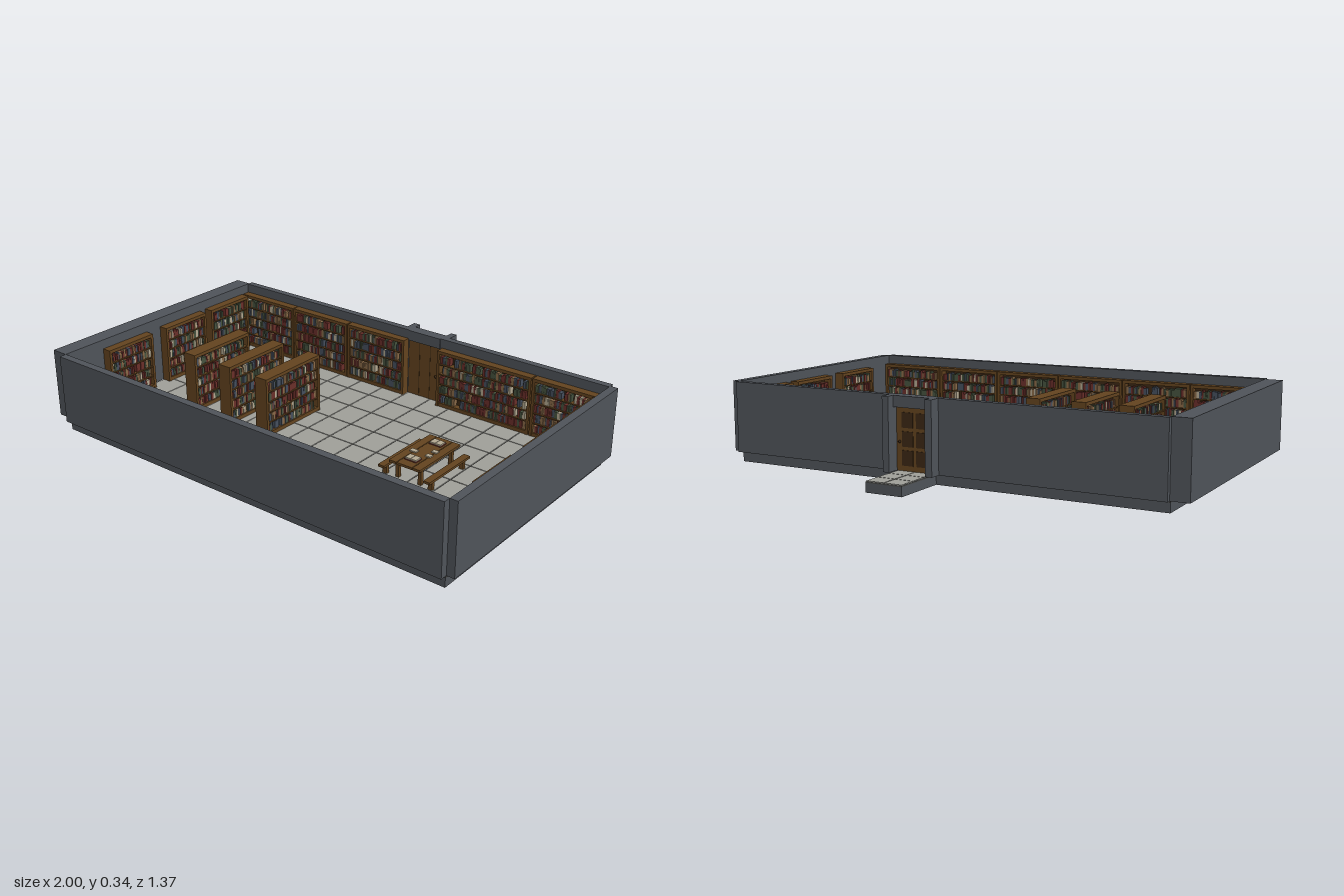
import * as THREE from 'three';
import { mergeGeometries } from 'three/addons/utils/BufferGeometryUtils.js';

const material = (name, color) => {
  const m = new THREE.MeshStandardMaterial({ color });
  m.name = name;
  return m;
};
const stone = material('darkStone', 0x50545a);
const tile = material('paleTile', 0xa0a09a);
const grout = material('grout', 0x4a4b4a);
const wood = material('wood', 0x64441f);
const darkWood = material('darkWood', 0x3c2814);
const bookColours = [
  material('bookRed', 0x6b2f2a), material('bookGreen', 0x46533f), material('bookBlue', 0x46505e),
  material('bookTan', 0x8a6a48), material('paper', 0xb5aa92),
];
const paper = bookColours[4];

// Small seeded generator for book sizes and colours
let seed = 7;
const random = () => {
  seed = (seed * 16807) % 2147483647;
  return seed / 2147483647;
};

// Box given by its limits on each axis
function block(x0, x1, y0, y1, z0, z1) {
  const g = new THREE.BoxGeometry(x1 - x0, y1 - y0, z1 - z0);
  g.translate((x0 + x1) / 2, (y0 + y1) / 2, (z0 + z1) / 2);
  return g;
}

function add(parent, name, mat, ...limits) {
  const geos = limits.map((l) => block(...l));
  const mesh = new THREE.Mesh(geos.length > 1 ? mergeGeometries(geos) : geos[0], mat);
  mesh.name = name;
  parent.add(mesh);
  return mesh;
}

const FLOOR = 0.045;
const TOP = 0.34;

// Grid of tiles with gaps between them
function tiles(parent, name, x0, x1, z0, z1, cols, rows) {
  const w = (x1 - x0) / cols, d = (z1 - z0) / rows, gap = 0.002;
  const list = [];
  for (let i = 0; i < cols; i++) {
    for (let j = 0; j < rows; j++) {
      list.push([x0 + i * w + gap, x0 + (i + 1) * w - gap, 0.041, FLOOR,
        z0 + j * d + gap, z0 + (j + 1) * d - gap]);
    }
  }
  add(parent, name, tile, ...list);
}

// Bookcase along local x, back at z = 0, opening towards +z
function bookcase(length, depth) {
  const g = new THREE.Group();
  g.name = 'bookcase';
  const h = 0.255, half = length / 2, side = 0.012, shelves = 5, base = 0.016, cap = 0.014;
  const step = (h - base - cap) / shelves;
  add(g, 'bookcaseFrame', wood,
    [-half, -half + side, 0, h - cap, 0, depth], [half - side, half, 0, h - cap, 0, depth],
    [-half, half, h - cap, h, 0, depth], [-half + side, half - side, 0, base, 0, depth - 0.002]);
  add(g, 'bookcaseBack', darkWood, [-half + side, half - side, base, h - cap, 0, 0.005]);
  const boards = [], books = bookColours.map(() => []);
  for (let s = 0; s < shelves; s++) {
    const y = base + s * step;
    if (s > 0) boards.push([-half + side, half - side, y - 0.005, y, 0.005, depth - 0.002]);
    let x = -half + side + 0.001;
    while (true) {
      const w = 0.007 + random() * 0.008;
      if (x + w > half - side) break;
      const pick = random();
      const colour = pick < 0.34 ? 0 : pick < 0.56 ? 1 : pick < 0.74 ? 2 : pick < 0.92 ? 3 : 4;
      if (random() > 0.06) {
        books[colour].push([x, x + w - 0.001, y, y + step * (0.6 + random() * 0.25), 0.005,
          depth - 0.005 - random() * 0.006]);
      }
      x += w;
    }
  }
  add(g, 'shelfBoards', wood, ...boards);
  books.forEach((list, i) => list.length && add(g, 'books', bookColours[i], ...list));
  return g;
}

function placeCase(parent, x, z, length, depth, turn) {
  const c = bookcase(length, depth);
  c.position.set(x, FLOOR, z);
  c.rotation.y = turn;
  parent.add(c);
}

export function createModel() {
  seed = 7;
  const model = new THREE.Group();
  model.name = 'libraryRoom';

  // Foundation and tiled floor
  add(model, 'foundation', stone, [-0.925, 0.967, 0, 0.037, -0.445, 0.66]);
  add(model, 'floorGrout', grout, [-0.925, 0.967, 0.037, 0.042, -0.445, 0.66]);
  tiles(model, 'floorTiles', -0.925, 0.965, -0.455, 0.655, 16, 8);

  // Walls, with an opening for the door
  add(model, 'frontWall', stone, [-0.925, 0.967, FLOOR, TOP, 0.653, 0.685]);
  add(model, 'rightWall', stone, [-1, -0.925, FLOOR, TOP, -0.455, 0.655]);
  add(model, 'leftWall', stone, [0.967, 1, FLOOR, TOP, -0.455, 0.655]);
  add(model, 'backWall', stone,
    [-0.925, 0.02, FLOOR, TOP, -0.475, -0.445], [0.185, 0.967, FLOOR, TOP, -0.475, -0.445]);

  // Doorway posts and lintel
  add(model, 'doorPosts', stone,
    [-0.01, 0.02, FLOOR, TOP, -0.525, -0.445], [0.182, 0.21, FLOOR, TOP, -0.525, -0.445]);
  add(model, 'doorLintel', stone, [0.02, 0.182, 0.295, TOP, -0.49, -0.44]);

  // Door with recessed-looking panels and a knob
  const door = new THREE.Group();
  door.name = 'door';
  model.add(door);
  add(door, 'doorLeaf', wood, [0.02, 0.185, FLOOR, 0.295, -0.468, -0.447]);
  const panels = [];
  for (let c = 0; c < 2; c++) {
    for (let r = 0; r < 3; r++) {
      const x = 0.043 + c * 0.064, y = 0.066 + r * 0.074;
      panels.push([x, x + 0.05, y, y + 0.06, -0.471, -0.468]);
    }
  }
  add(door, 'doorPanels', darkWood, ...panels);
  add(door, 'plankSeams', darkWood,
    ...[0.075, 0.13].map((x) => [x, x + 0.002, FLOOR, 0.295, -0.447, -0.446]));
  for (const z of [-0.474, -0.442]) {
    const knob = new THREE.Mesh(new THREE.SphereGeometry(0.006, 10, 8), darkWood);
    knob.name = 'doorKnob';
    knob.position.set(0.165, 0.16, z);
    door.add(knob);
  }

  // Porch slab
  add(model, 'porch', stone, [0.02, 0.18, 0, 0.037, -0.685, -0.445]);
  add(model, 'porchGrout', grout, [0.02, 0.18, 0.037, 0.042, -0.685, -0.445]);
  tiles(model, 'porchTiles', 0.02, 0.18, -0.685, -0.455, 2, 3);

  // Bookcases along the front and back walls
  const span = 0.315;
  for (let i = 0; i < 6; i++) {
    const x = -0.925 + span * (i + 0.5);
    placeCase(model, x, 0.653, span - 0.005, 0.038, Math.PI);
    if (i < 3 || i === 5) placeCase(model, x, -0.445, span - 0.005, 0.036, 0);
  }
  placeCase(model, 0.419, -0.445, 0.456, 0.036, 0);

  // Bookcases along the side walls
  for (const z of [-0.278, 0.005, 0.333]) {
    placeCase(model, -0.925, z, 0.248, 0.04, Math.PI / 2);
    placeCase(model, 0.967, z, 0.248, 0.042, -Math.PI / 2);
  }

  // Double-sided bookcases in the middle
  for (const x of [-0.6, -0.4, -0.2]) {
    placeCase(model, x, 0.102, 0.335, 0.031, Math.PI / 2);
    placeCase(model, x, 0.102, 0.335, 0.031, -Math.PI / 2);
  }

  // Reading table
  const table = new THREE.Group();
  table.name = 'table';
  model.add(table);
  add(table, 'tableTop', wood,
    [0.42, 0.453, 0.115, 0.125, -0.035, 0.237], [0.456, 0.526, 0.115, 0.125, -0.035, 0.237],
    [0.529, 0.563, 0.115, 0.125, -0.035, 0.237]);
  const legs = [];
  for (const z of [-0.01, 0.195]) {
    legs.push([0.43, 0.553, 0.105, 0.115, z, z + 0.015]);
    for (const x of [0.432, 0.536]) legs.push([x, x + 0.015, FLOOR, 0.105, z, z + 0.015]);
  }
  add(table, 'tableLegs', wood, ...legs);

  // Benches either side of the table
  for (const x of [0.37, 0.581]) {
    add(model, 'bench', wood, [x, x + 0.029, 0.08, 0.09, -0.035, 0.24],
      [x + 0.005, x + 0.024, FLOOR, 0.08, -0.01, 0.005],
      [x + 0.005, x + 0.024, FLOOR, 0.08, 0.2, 0.215]);
  }

  // Open books and loose sheets on the table
  for (const z of [0.015, 0.178]) {
    add(model, 'openBookCover', bookColours[0], [0.462, 0.518, 0.125, 0.128, z - 0.02, z + 0.02]);
    add(model, 'openBookPages', paper,
      [0.465, 0.489, 0.128, 0.134, z - 0.017, z + 0.017],
      [0.491, 0.515, 0.128, 0.134, z - 0.017, z + 0.017]);
  }
  add(model, 'looseSheets', paper, [0.44, 0.47, 0.125, 0.13, 0.112, 0.132],
    [0.512, 0.536, 0.125, 0.13, 0.07, 0.09], [0.512, 0.536, 0.125, 0.13, 0.112, 0.132]);
  return model;
}
